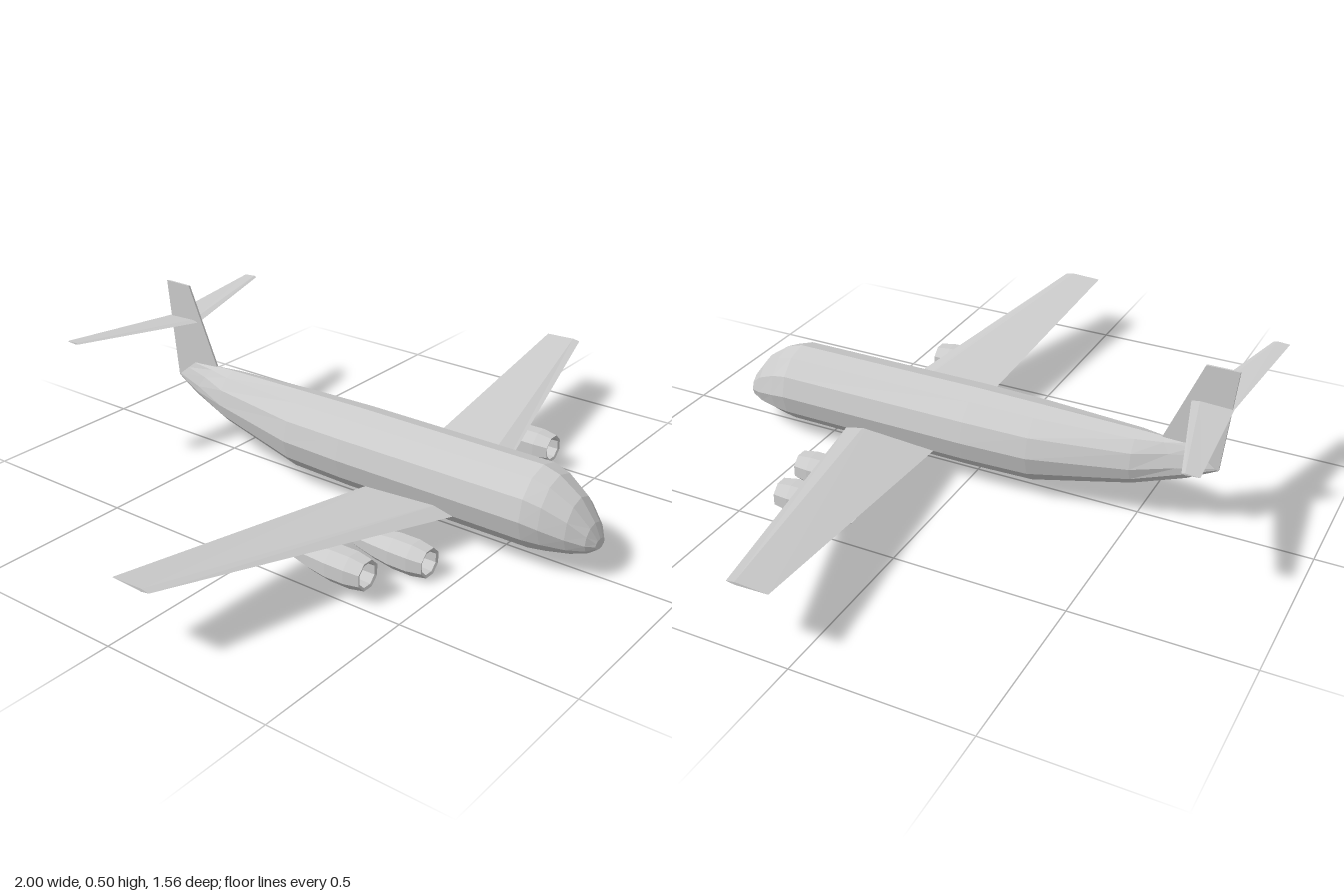
import * as THREE from 'three';

const material = new THREE.MeshStandardMaterial({ color: 0xcccccc, flatShading: true });
const openMaterial = new THREE.MeshStandardMaterial({ color: 0xcccccc, flatShading: true, side: THREE.DoubleSide });

function addMesh(parent, name, geometry, mat = material) {
  const mesh = new THREE.Mesh(geometry, mat);
  mesh.name = name;
  parent.add(mesh);
  return mesh;
}

// Skin a row of equal-length rings and cap both ends.
// Ring points run counter-clockwise as seen from outside the first ring.
function loft(rings) {
  const n = rings[0].length, last = (rings.length - 1) * n, index = [];
  for (let i = 0; i < rings.length - 1; i++) {
    for (let j = 0; j < n; j++) {
      const k = (j + 1) % n, a = i * n + j, b = i * n + k;
      index.push(a, a + n, b + n, a, b + n, b);
    }
  }
  for (let j = 1; j < n - 1; j++) {
    index.push(0, j, j + 1, last, last + j + 1, last + j);
  }
  const geometry = new THREE.BufferGeometry();
  geometry.setAttribute('position', new THREE.Float32BufferAttribute(rings.flat(2), 3));
  geometry.setIndex(index);
  const flat = geometry.toNonIndexed();
  flat.computeVertexNormals();
  return flat;
}

// Twelve-sided hull ring; the top may lean ahead of the bottom.
function hullRing([z, bottom, middle, top, halfWidth, zTop = z]) {
  const ring = [];
  for (let i = 0; i < 12; i++) {
    const c = Math.cos(i * Math.PI / 6), s = Math.sin(i * Math.PI / 6);
    const y = middle + s * (s > 0 ? top - middle : middle - bottom);
    const t = (y - bottom) / (top - bottom);
    ring.push([halfWidth * c, y, z + (zTop - z) * t]);
  }
  return ring;
}

// Kite-shaped wing section: leading edge, top crest, trailing edge, lower crest.
function wingRing(x, y, lead, trail, thickness) {
  const crest = lead + (trail - lead) * 0.2;
  return [
    [x, y, lead],
    [x, y + thickness / 2, crest],
    [x, y, trail],
    [x, y - thickness / 2, crest],
  ];
}

function wingPair(root, tip, span) {
  return loft([wingRing(-span, ...tip), wingRing(0, ...root), wingRing(span, ...tip)]);
}

function createEngine() {
  const engine = new THREE.Group();
  // Nacelle shell, open at both ends with a rolled inlet lip
  const profile = [
    [0.028, -0.115], [0.042, -0.05], [0.05, 0.01], [0.05, 0.07],
    [0.042, 0.115], [0.034, 0.112], [0.032, 0.07],
  ].map(([r, y]) => new THREE.Vector2(r, y));
  const shell = new THREE.LatheGeometry(profile, 8, Math.PI / 8);
  shell.rotateX(Math.PI / 2);
  addMesh(engine, 'nacelle', shell, openMaterial);
  // Fan face inside the inlet
  const fan = new THREE.CylinderGeometry(0.034, 0.034, 0.01, 8, 1, false, Math.PI / 8);
  fan.rotateX(Math.PI / 2);
  addMesh(engine, 'fan', fan).position.z = 0.07;
  return engine;
}

export function createModel() {
  const aircraft = new THREE.Group();
  aircraft.name = 'aircraft';

  // Fuselage rings from nose to tail: z, bottom, middle, top, half width, z of top
  const hull = [
    [0.778, 0.09, 0.105, 0.12, 0.025],
    [0.76, 0.077, 0.112, 0.16, 0.05],
    [0.715, 0.062, 0.128, 0.22, 0.08],
    [0.65, 0.05, 0.147, 0.265, 0.106],
    [0.6, 0.043, 0.158, 0.28, 0.118],
    [0, 0.041, 0.158, 0.28, 0.119],
    [-0.2, 0.045, 0.158, 0.277, 0.112],
    [-0.49, 0.111, 0.18, 0.272, 0.068],
    [-0.64, 0.162, 0.2, 0.27, 0.032, -0.56],
    [-0.72, 0.204, 0.212, 0.268, 0.008, -0.64],
  ];
  addMesh(aircraft, 'fuselage', loft(hull.map(hullRing)));

  // Main wings and tailplane: height, leading z, trailing z, thickness
  addMesh(aircraft, 'wings',
    wingPair([0.087, 0.415, 0.1, 0.036], [0.213, 0.157, 0.037, 0.008], 1));
  addMesh(aircraft, 'tailplane',
    wingPair([0.398, -0.628, -0.745, 0.008], [0.42, -0.735, -0.782, 0.005], 0.39));

  // Upright tail fin, drawn as (z, y)
  const finShape = new THREE.Shape([
    [-0.555, 0.265], [-0.66, 0.51], [-0.752, 0.51], [-0.72, 0.205], [-0.64, 0.22],
  ].map(([z, y]) => new THREE.Vector2(z, y)));
  const fin = new THREE.ExtrudeGeometry(finShape, { depth: 0.006, bevelEnabled: false });
  fin.translate(0, 0, -0.003).rotateY(-Math.PI / 2);
  addMesh(aircraft, 'tailFin', fin);

  // Two engines under each wing
  for (const [side, s] of [['left', 1], ['right', -1]]) {
    for (const [place, x, y, z] of [['Inner', 0.275, 0.053, 0.32], ['Outer', 0.462, 0.083, 0.26]]) {
      const engine = createEngine();
      engine.name = side + place + 'Engine';
      engine.position.set(s * x, y, z);
      aircraft.add(engine);
    }
  }
  return aircraft;
}
